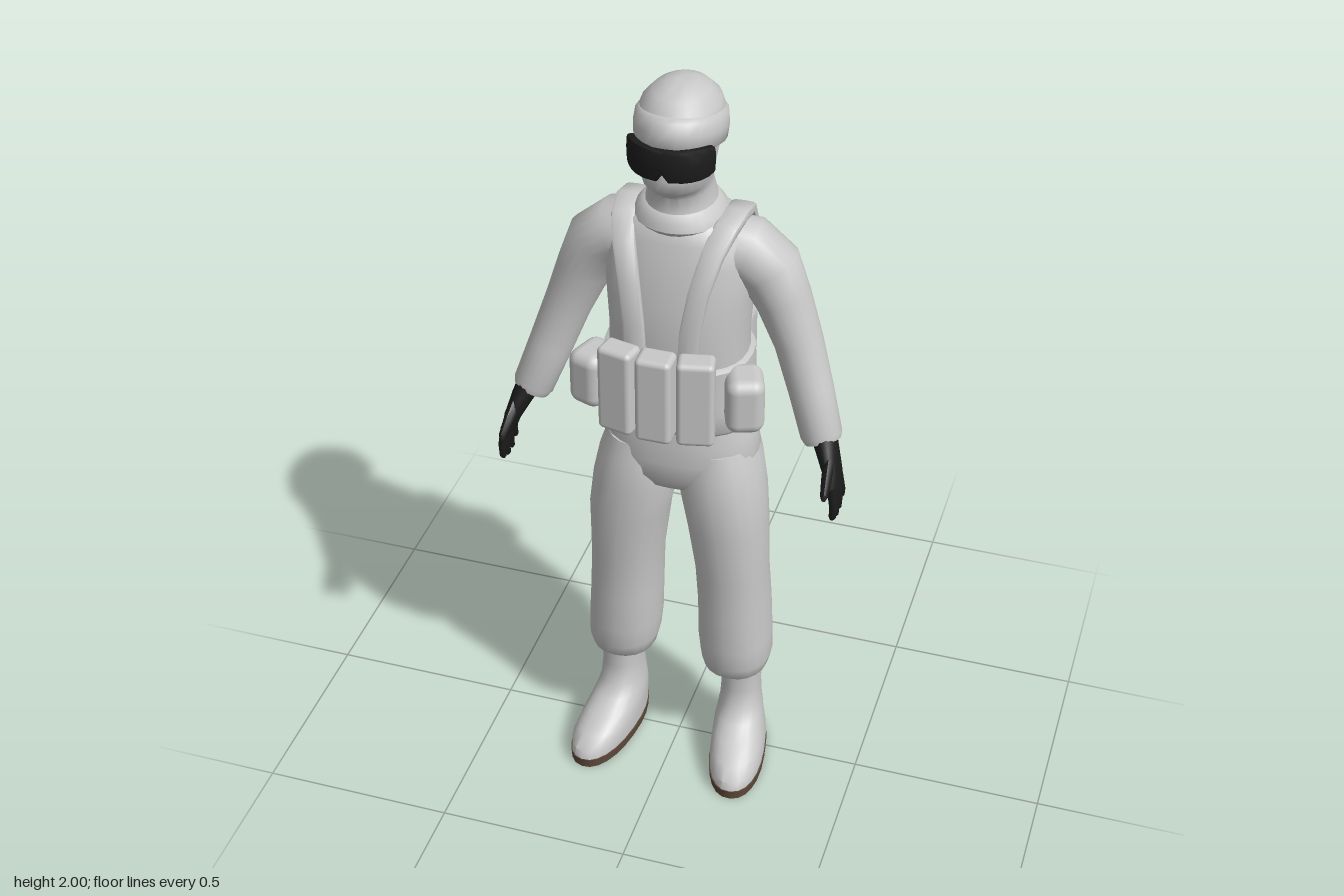
import * as THREE from 'three';
import { toCreasedNormals } from 'three/addons/utils/BufferGeometryUtils.js';
import { RoundedBoxGeometry } from 'three/addons/geometries/RoundedBoxGeometry.js';

const cloth = new THREE.MeshStandardMaterial({ name: 'light grey cloth', color: 0xc8c8c8 });
const black = new THREE.MeshStandardMaterial({ name: 'black', color: 0x1c1c1c });
const brown = new THREE.MeshStandardMaterial({ name: 'brown sole', color: 0x5e4a3a });

const X = new THREE.Vector3(1, 0, 0);
const Y = new THREE.Vector3(0, 1, 0);
const Z = new THREE.Vector3(0, 0, 1);

// Closed skin over sections [x, y, z, a, b]: b is the half size along ref, a across it.
// flat keeps every section horizontal; pow above 2 squares the outline.
function loft(sections, { ref = Z, n = 20, flat = false, pow = 2, side = 1 } = {}) {
  const centres = sections.map(([x, y, z]) => new THREE.Vector3(x * side, y, z));
  const last = sections.length - 1;
  const pos = [], index = [];
  const bend = (c) => Math.sign(c) * Math.abs(c) ** (2 / pow);
  sections.forEach(([, , , a, b], i) => {
    const t = centres[Math.min(i + 1, last)].clone().sub(centres[Math.max(i - 1, 0)]);
    if (flat) t.set(0, t.y, 0);
    t.normalize();
    const v = ref.clone().addScaledVector(t, -ref.dot(t)).normalize();
    const u = t.clone().cross(v);
    for (let j = 0; j < n; j++) {
      const angle = (j / n) * Math.PI * 2;
      const p = centres[i].clone()
        .addScaledVector(u, bend(Math.cos(angle)) * a)
        .addScaledVector(v, bend(Math.sin(angle)) * b);
      pos.push(p.x, p.y, p.z);
    }
  });
  for (let i = 0; i < last; i++) {
    for (let j = 0; j < n; j++) {
      const k = (j + 1) % n;
      const p = i * n + j, q = i * n + k;
      index.push(p, p + n, q, q, p + n, q + n);
    }
  }
  // end caps
  const start = pos.length / 3;
  pos.push(...centres[0].toArray(), ...centres[last].toArray());
  for (let j = 0; j < n; j++) {
    const k = (j + 1) % n;
    index.push(start, j, k, start + 1, last * n + k, last * n + j);
  }
  const geo = new THREE.BufferGeometry();
  geo.setAttribute('position', new THREE.Float32BufferAttribute(pos, 3));
  geo.setIndex(index);
  return toCreasedNormals(geo, 0.9);
}

export function createModel() {
  const model = new THREE.Group();
  const add = (name, geo, mat = cloth, parent = model) => {
    const mesh = new THREE.Mesh(geo, mat);
    mesh.name = name;
    parent.add(mesh);
    return mesh;
  };
  const pouch = (name, w, h, d, r, x, y, z, turn = 0) => {
    const mesh = add(name, new RoundedBoxGeometry(w, h, d, 3, r));
    mesh.position.set(x, y, z);
    mesh.rotation.y = turn;
  };

  // Jacket body
  add('jacket', loft([
    [0, 1.085, -0.02, 0.18, 0.125], [0, 1.1, -0.02, 0.19, 0.138], [0, 1.15, -0.015, 0.182, 0.134],
    [0, 1.25, -0.005, 0.174, 0.135], [0, 1.35, -0.003, 0.172, 0.137], [0, 1.46, -0.008, 0.18, 0.138],
    [0, 1.56, -0.018, 0.185, 0.126], [0, 1.62, -0.02, 0.17, 0.113], [0, 1.655, -0.02, 0.135, 0.1],
    [0, 1.675, -0.02, 0.08, 0.08],
  ], { flat: true, n: 28, pow: 2.3 }));

  // Head, neck and collar
  add('collar', loft([
    [0, 1.64, -0.015, 0.1, 0.1], [0, 1.655, -0.015, 0.115, 0.113], [0, 1.675, -0.018, 0.108, 0.112],
    [0, 1.695, -0.018, 0.09, 0.1], [0, 1.7, -0.018, 0.07, 0.08],
  ], { flat: true, n: 24 }));
  add('maskedHead', loft([
    [0, 1.67, -0.018, 0.092, 0.102], [0, 1.7, -0.018, 0.084, 0.097], [0, 1.735, -0.014, 0.077, 0.09],
    [0, 1.755, -0.003, 0.077, 0.1], [0, 1.775, 0.009, 0.081, 0.117], [0, 1.81, 0.012, 0.087, 0.122],
    [0, 1.85, 0.002, 0.092, 0.124], [0, 1.91, -0.01, 0.094, 0.12],
  ], { flat: true, n: 24 }));

  // Cap with its slanted band and knotted tails
  add('capCrown', loft([
    [0, 1.86, -0.02, 0.097, 0.125], [0, 1.91, -0.017, 0.102, 0.13], [0, 1.95, -0.015, 0.092, 0.115],
    [0, 1.978, -0.016, 0.066, 0.083], [0, 1.993, -0.018, 0.037, 0.047], [0, 2, -0.018, 0.008, 0.01],
  ], { flat: true, n: 24 }));
  const band = add('capBand', loft([
    [0, -0.042, 0, 0.095, 0.125], [0, -0.034, 0, 0.106, 0.137], [0, 0, 0, 0.109, 0.142],
    [0, 0.03, 0, 0.105, 0.137], [0, 0.04, 0, 0.095, 0.125],
  ], { flat: true, n: 24 }));
  band.position.set(0, 1.893, -0.015);
  band.rotation.x = -0.2;
  for (const s of [1, -1]) {
    add('capTail', loft([
      [0, 1.86, -0.148, 0.012, 0.012], [0.006, 1.82, -0.152, 0.008, 0.014],
      [0.014, 1.765, -0.146, 0.004, 0.008],
    ], { ref: X, n: 8, side: s }));
  }

  // Goggles wrap round the face and rise over the nose
  const goggles = [];
  for (let i = -6; i <= 6; i++) {
    const f = i / 6, angle = f * 1.35, nose = Math.abs(f) < 0.1 ? 1 : 0;
    const half = 0.042 - 0.008 * f ** 4 - 0.01 * nose;
    goggles.push([0.098 * Math.sin(angle), 1.851 + 0.01 * nose, 0.045 + 0.084 * Math.cos(angle), 0.012, half]);
  }
  add('goggles', loft(goggles, { ref: Y, n: 12, pow: 4 }), black);

  // Seat of the trousers
  add('trouserSeat', loft([
    [0, 1.11, -0.02, 0.172, 0.12], [0, 1.05, -0.025, 0.19, 0.132], [0, 0.99, -0.028, 0.2, 0.138],
    [0, 0.94, -0.02, 0.19, 0.125], [0, 0.9, -0.015, 0.13, 0.1], [0, 0.885, -0.01, 0.05, 0.06],
  ], { flat: true, n: 28, pow: 2.3 }));

  for (const s of [1, -1]) {
    // Sleeve
    add('sleeve', loft([
      [0.09, 1.57, -0.025, 0.08, 0.085], [0.165, 1.567, -0.028, 0.083, 0.085],
      [0.215, 1.525, -0.03, 0.08, 0.08], [0.25, 1.45, -0.028, 0.069, 0.072],
      [0.293, 1.34, -0.02, 0.06, 0.064], [0.335, 1.22, 0.005, 0.056, 0.055],
      [0.372, 1.115, 0.035, 0.052, 0.05], [0.378, 1.1, 0.04, 0.045, 0.044],
    ], { side: s }));

    // Gloved hand
    const hand = new THREE.Group();
    hand.name = 'glove';
    model.add(hand);
    add('palm', loft([
      [0.378, 1.125, 0.04, 0.032, 0.036], [0.396, 1.085, 0.06, 0.027, 0.038],
      [0.414, 1.04, 0.078, 0.021, 0.045], [0.424, 1.0, 0.084, 0.015, 0.046],
    ], { n: 12, side: s }), black, hand);
    for (let i = 0; i < 4; i++) {
      const tip = [0.938, 0.922, 0.92, 0.93][i];
      add('finger', loft([
        [0.422, 1.02, 0.05 + 0.023 * i, 0.012, 0.013], [0.43, 0.97, 0.045 + 0.026 * i, 0.011, 0.012],
        [0.429, tip + 0.008, 0.038 + 0.029 * i, 0.009, 0.01], [0.428, tip, 0.037 + 0.029 * i, 0.004, 0.004],
      ], { n: 8, side: s }), black, hand);
    }
    add('thumb', loft([
      [0.405, 1.075, 0.085, 0.014, 0.02], [0.41, 1.05, 0.125, 0.013, 0.016],
      [0.414, 1.025, 0.16, 0.01, 0.011], [0.414, 1.015, 0.168, 0.004, 0.004],
    ], { ref: Y, n: 8, side: s }), black, hand);

    // Baggy trouser leg gathered below the knee
    add('trouserLeg', loft([
      [0.1, 1.02, -0.022, 0.085, 0.115], [0.106, 0.96, -0.018, 0.102, 0.126],
      [0.114, 0.88, -0.008, 0.11, 0.122], [0.13, 0.78, 0.002, 0.104, 0.112],
      [0.142, 0.62, -0.006, 0.094, 0.106], [0.148, 0.5, -0.014, 0.094, 0.11],
      [0.152, 0.39, -0.012, 0.096, 0.108], [0.156, 0.33, -0.012, 0.094, 0.103],
      [0.156, 0.295, -0.012, 0.085, 0.094], [0.158, 0.28, -0.014, 0.07, 0.08],
    ], { flat: true, pow: 2.2, side: s }));

    // Boot, toes turned slightly out
    const boot = new THREE.Group();
    boot.name = 'boot';
    boot.position.set(0.167 * s, 0, -0.025);
    boot.rotation.y = 0.15 * s;
    model.add(boot);
    add('bootUpper', loft([
      [0.004, 0.024, 0.082, 0.072, 0.172], [0.004, 0.05, 0.08, 0.073, 0.168],
      [0.002, 0.075, 0.062, 0.07, 0.148], [0, 0.1, 0.038, 0.066, 0.12],
      [0, 0.125, 0.014, 0.061, 0.092], [0, 0.155, 0.002, 0.056, 0.074],
      [0, 0.21, -0.001, 0.053, 0.064], [0, 0.3, 0, 0.058, 0.068],
    ], { flat: true, n: 24, pow: 2.25, side: s }), cloth, boot);
    add('bootSole', loft([
      [0.004, 0, 0.082, 0.073, 0.172], [0.004, 0.026, 0.082, 0.075, 0.174],
    ], { flat: true, n: 24, pow: 2.25, side: s }), brown, boot);

    // Shoulder strap from the front pouches over to the pack
    add('shoulderStrap', loft([
      [0.065, 1.34, 0.147, 0.012, 0.026], [0.07, 1.42, 0.144, 0.012, 0.026],
      [0.085, 1.52, 0.128, 0.013, 0.026], [0.108, 1.61, 0.09, 0.014, 0.028],
      [0.125, 1.654, 0.04, 0.014, 0.03], [0.132, 1.664, -0.02, 0.014, 0.031],
      [0.132, 1.648, -0.085, 0.014, 0.031], [0.128, 1.59, -0.128, 0.014, 0.03],
      [0.12, 1.48, -0.147, 0.013, 0.028], [0.105, 1.28, -0.148, 0.012, 0.028],
    ], { ref: X, n: 12, pow: 4, side: s }));

    // Pouches beside the middle one
    pouch('outerFrontPouch', 0.092, 0.235, 0.065, 0.014, 0.096 * s, 1.257, 0.18, 0.22 * s);
    pouch('hipPouch', 0.095, 0.15, 0.115, 0.03, 0.19 * s, 1.22, 0.088, 0.35 * s);
  }

  // Belt, middle pouch and back pack
  add('belt', loft([
    [0, 1.17, -0.008, 0.175, 0.135], [0, 1.178, -0.008, 0.189, 0.15],
    [0, 1.29, -0.004, 0.185, 0.15], [0, 1.298, -0.004, 0.17, 0.135],
  ], { flat: true, n: 28, pow: 2.3 }));
  pouch('middleFrontPouch', 0.09, 0.235, 0.07, 0.014, 0, 1.257, 0.192);
  pouch('backPack', 0.285, 0.185, 0.105, 0.04, 0, 1.228, -0.177);

  return model;
}
